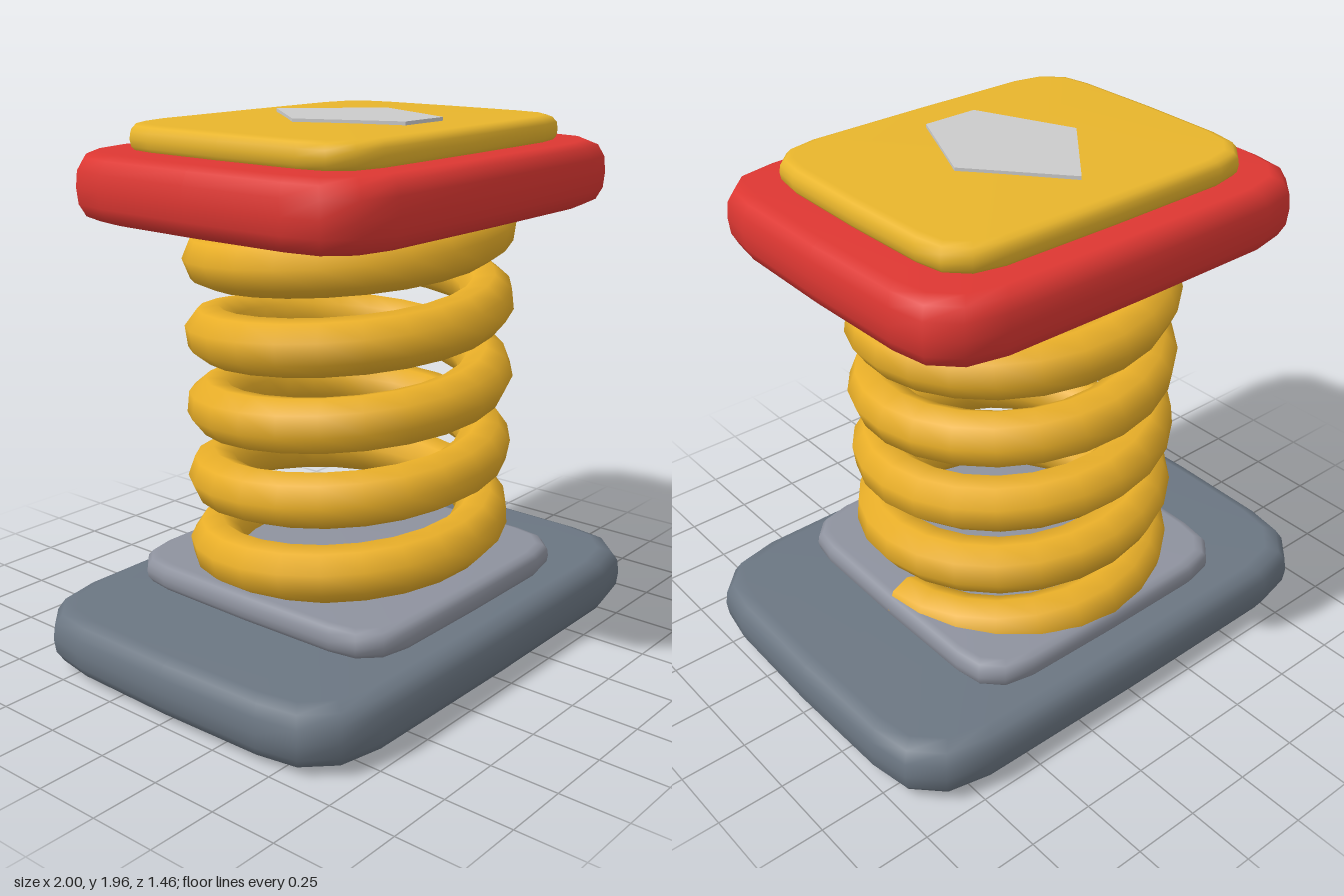
import * as THREE from 'three';

const paint = (color, extra = {}) => new THREE.MeshStandardMaterial({ color, ...extra });

// Closed plan outline of a soft-cornered rectangle, running from +x towards +z
function outline(a, b, c) {
  const q = [[a, 0], [a - 0.03 * c, b - c], [a - 0.12 * c, b - 0.48 * c],
    [a - 0.45 * c, b - 0.14 * c], [a - c, b - 0.02 * c], [0, b]];
  const back = q.slice(0, 5).reverse();
  return [
    ...q,
    ...back.map(([x, z]) => [-x, z]),
    ...q.slice(1).map(([x, z]) => [-x, -z]),
    ...back.slice(0, 4).map(([x, z]) => [x, -z]),
  ];
}

// Softly bulging plate: half sizes a, b, corner size c, edge rounding e, from y0 to y1
function plate(name, color, a, b, c, e, y0, y1) {
  const h = y1 - y0;
  const lower = [[e, 0.05], [0.4 * e, 0.12], [0.08 * e, 0.28]];
  const rows = [...lower, [0, 0.5], ...lower.map(([i, f]) => [i, 1 - f]).reverse()];
  const plan = outline(a, b, c);
  const n = plan.length;
  const pos = [];
  const idx = [];
  for (const [inset, f] of rows)
    for (const [x, z] of plan) pos.push(x * (a - inset) / a, y0 + f * h, z * (b - inset) / b);
  const bottom = rows.length * n;
  const top = bottom + 1;
  pos.push(0, y0, 0, 0, y1, 0);
  for (let j = 0; j < n; j++) {
    const k = (j + 1) % n;
    for (let i = 0; i < rows.length - 1; i++) {
      const r = i * n;
      const s = r + n;
      idx.push(r + j, s + j, r + k, r + k, s + j, s + k);
    }
    const last = (rows.length - 1) * n;
    idx.push(bottom, j, k, top, last + k, last + j);
  }
  const geo = new THREE.BufferGeometry();
  geo.setAttribute('position', new THREE.Float32BufferAttribute(pos, 3));
  geo.setIndex(idx);
  geo.computeVertexNormals();
  const mesh = new THREE.Mesh(geo, paint(color));
  mesh.name = name;
  return mesh;
}

// Path of the coil: five turns, starting and ending on the +x side
class Helix extends THREE.Curve {
  getPoint(t, target = new THREE.Vector3()) {
    const ang = t * 5 * Math.PI * 2;
    return target.set(0.5 * Math.cos(ang), 0.27 + 1.35 * t, -0.5 * Math.sin(ang));
  }
}

export function createModel() {
  const model = new THREE.Group();
  model.name = 'springPad';

  // Stacked plates
  model.add(
    plate('base', 0x6b7682, 1.0, 0.73, 0.3, 0.07, 0, 0.24),
    plate('lowerSeat', 0x8e929e, 0.6, 0.6, 0.2, 0.04, 0.22, 0.335),
    plate('topPlate', 0xdd3732, 0.82, 0.665, 0.26, 0.06, 1.605, 1.865),
    plate('topPad', 0xe8b52c, 0.66, 0.53, 0.2, 0.04, 1.835, 1.948),
  );

  // Coil spring
  const spring = new THREE.Mesh(
    new THREE.TubeGeometry(new Helix(), 120, 0.1, 8, false),
    paint(0xe8ae28, { side: THREE.DoubleSide }),
  );
  spring.name = 'spring';
  model.add(spring);

  // Thin five-sided marker on the pad
  const shape = new THREE.Shape(
    [[0, 0.345], [-0.265, 0.03], [-0.105, -0.33], [0.105, -0.33], [0.265, 0.03]]
      .map(([x, y]) => new THREE.Vector2(x, y)),
  );
  const marker = new THREE.Mesh(
    new THREE.ExtrudeGeometry(shape, { depth: 0.025, bevelEnabled: false }),
    paint(0xcccccc),
  );
  marker.name = 'marker';
  marker.rotation.x = -Math.PI / 2;
  marker.position.y = 1.932;
  model.add(marker);

  return model;
}
